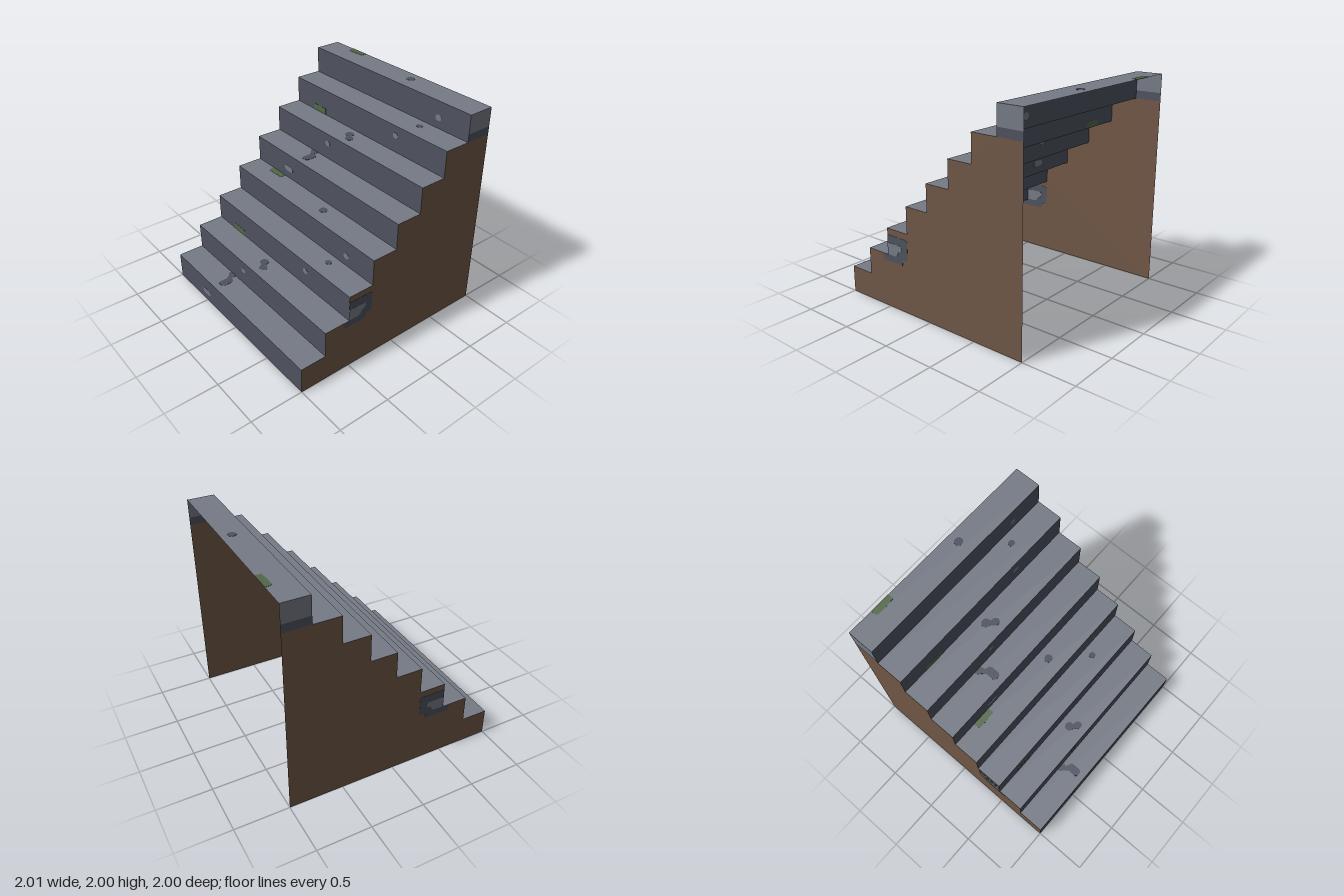
import * as THREE from 'three';

const mat = (name, color) => {
  const m = new THREE.MeshStandardMaterial({ color, side: THREE.DoubleSide });
  m.name = name;
  return m;
};

// Outlines
const poly = (pts) => new THREE.Shape(pts.map(([x, y]) => new THREE.Vector2(x, y)));
const rect = (x0, y0, x1, y1) => poly([[x0, y0], [x1, y0], [x1, y1], [x0, y1]]);
const blob = (cx, cy, rx, ry = rx, c = 0.45) => poly([
  [cx - rx, cy - ry * c], [cx - rx * c, cy - ry], [cx + rx * c, cy - ry], [cx + rx, cy - ry * c],
  [cx + rx, cy + ry * c], [cx + rx * c, cy + ry], [cx - rx * c, cy + ry], [cx - rx, cy + ry * c],
]);

// Plane orientations: riser faces z, tread lies in x/z, side lies in z/y
const turn = {
  riser: (g) => g,
  tread: (g) => g.rotateX(Math.PI / 2),
  side: (g) => g.rotateY(-Math.PI / 2),
};

export function createModel() {
  const group = new THREE.Group();
  group.name = 'staircase';
  const darkStone = mat('darkStone', 0x4e525e);
  const lightStone = mat('lightStone', 0x757a85);
  const earth = mat('earth', 0x705746);
  const moss = mat('moss', 0x52664a);

  const add = (name, geo, material, x = 0, y = 0, z = 0) => {
    const mesh = new THREE.Mesh(geo, material);
    mesh.name = name;
    mesh.position.set(x, y, z);
    group.add(mesh);
  };
  const sheet = (shape, plane) => turn[plane](new THREE.ShapeGeometry(shape));
  // Thin plate straddling its surface, so it shows on both sides
  const plate = (shape, plane, t = 0.004) => turn[plane](
    new THREE.ExtrudeGeometry(shape, { depth: t, bevelEnabled: false }).translate(0, 0, -t / 2));

  // Details of four steps in local coordinates (up from riser foot / forward from tread back)
  const riserMarks = [
    [blob(-0.503, 0.098, 0.062, 0.028, 0.6)],
    [blob(-0.222, 0.154, 0.031, 0.026)],
    [blob(0.405, 0.155, 0.031, 0.026)],
    [blob(0.655, 0.097, 0.031, 0.028)],
  ];
  const treadMarks = [
    [poly([[-0.45, 0], [-0.365, 0], [-0.365, 0.045], [-0.32, 0.06], [-0.307, 0.08], [-0.307, 0.16],
      [-0.325, 0.185], [-0.37, 0.185], [-0.387, 0.165], [-0.387, 0.085], [-0.415, 0.05], [-0.443, 0.03]])],
    [poly([[-0.138, 0.075], [-0.115, 0.053], [-0.08, 0.053], [-0.057, 0.075], [-0.057, 0.105],
      [-0.015, 0.115], [0.002, 0.135], [0.002, 0.16], [-0.015, 0.18], [-0.052, 0.18],
      [-0.073, 0.16], [-0.085, 0.135], [-0.12, 0.128], [-0.138, 0.11]])],
    [blob(0.53, 0.092, 0.03, 0.028)],
    [blob(0.155, 0.1, 0.038, 0.036)],
  ];
  const riserMoss = rect(-0.752, 0, -0.563, 0.062);
  const treadMoss = poly([[-0.754, 0], [-0.563, 0], [-0.563, 0.057], [-0.63, 0.06],
    [-0.64, 0.064], [-0.74, 0.064], [-0.754, 0.045]]);

  // Eight hollow steps
  for (let i = 0; i < 8; i++) {
    const y = i * 0.25, front = 1 - i * 0.25, back = front - 0.25, k = i % 4;
    add('riser', sheet(rect(-1, 0, 1, 0.25), 'riser'), darkStone, 0, y, front);
    add('tread', sheet(rect(-1, 0, 1, 0.25), 'tread'), lightStone, 0, y + 0.25, back);
    for (const s of riserMarks[k]) add('riserChip', plate(s, 'riser'), lightStone, 0, y, front);
    for (const s of treadMarks[k]) add('treadStain', plate(s, 'tread'), darkStone, 0, y + 0.25, back);
    if (k === 2) add('riserMoss', plate(riserMoss, 'riser'), moss, 0, y, front);
    if (k === 3) add('treadMoss', plate(treadMoss, 'tread'), moss, 0, y + 0.25, back);
  }

  // Stepped outline of the earth side walls, below the top step
  const outline = [[-1, 0], [1, 0]];
  for (let i = 0; i < 7; i++) {
    const z = 1 - i * 0.25, y = (i + 1) * 0.25;
    outline.push([z, y], [z - 0.25, y]);
  }
  outline.push([-1, 1.75]);

  // Exposed stone patch, given as z, y
  const patchEdge = poly([[0.5, 0.69], [0.27, 0.69], [0.253, 0.672], [0.253, 0.515], [0.27, 0.498],
    [0.305, 0.498], [0.318, 0.485], [0.318, 0.443], [0.56, 0.443], [0.56, 0.5], [0.5, 0.5]]);
  const patchCore = poly([[0.5, 0.617], [0.33, 0.617], [0.322, 0.585], [0.335, 0.562], [0.365, 0.555],
    [0.382, 0.518], [0.405, 0.507], [0.5, 0.507]]);

  for (const x of [-1, 1]) {
    add('sideWall', sheet(poly(outline), 'side'), earth, x);
    add('topStepSideBase', sheet(rect(-1, 1.75, -0.75, 1.825), 'side'), darkStone, x);
    add('topStepSide', sheet(rect(-1, 1.825, -0.75, 2), 'side'), lightStone, x);
    add('sidePatchEdge', plate(patchEdge, 'side'), darkStone, x);
    add('sidePatchCore', plate(patchCore, 'side', 0.008), lightStone, x);
  }
  return group;
}
